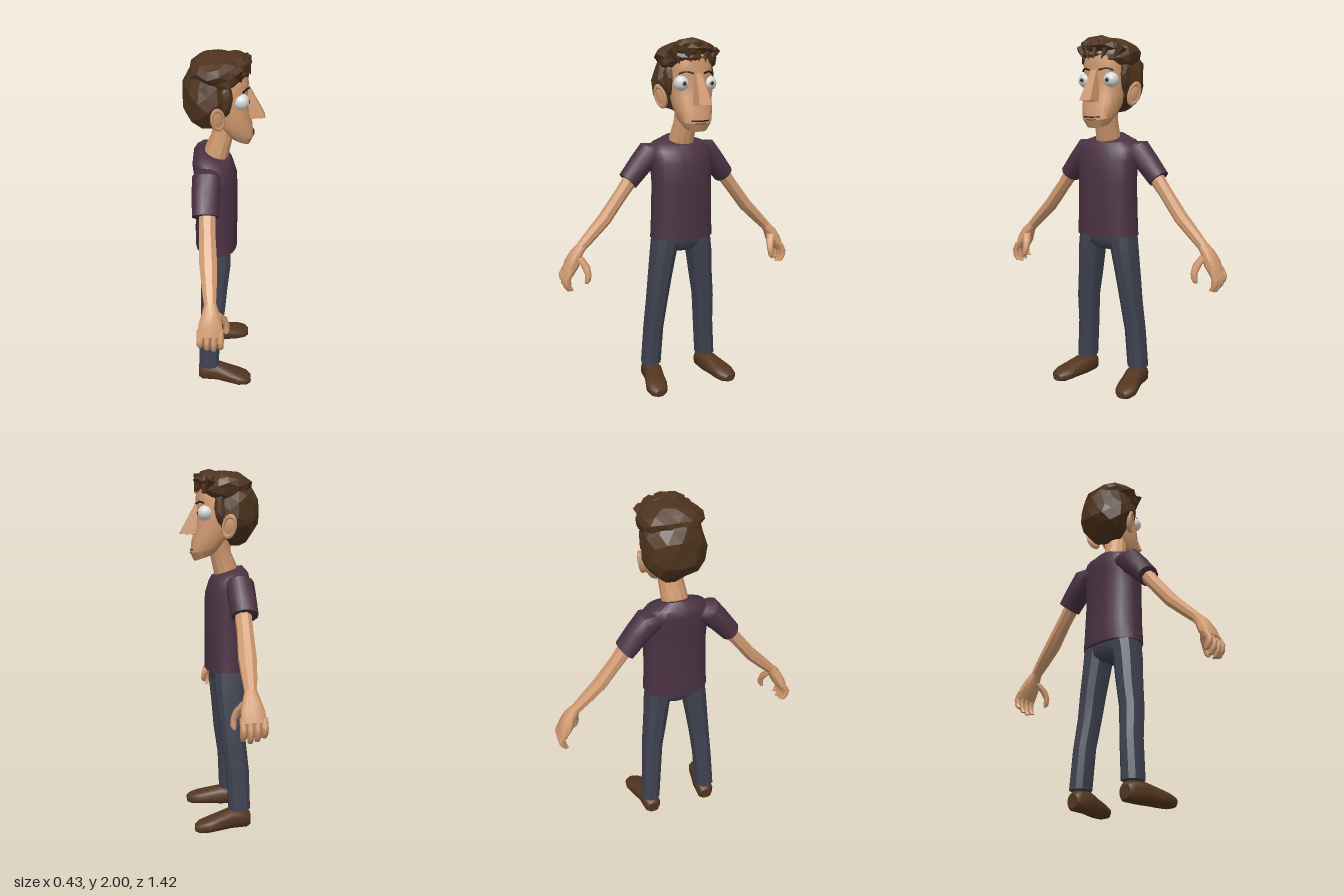
import * as THREE from 'three';
import { toCreasedNormals } from 'three/addons/utils/BufferGeometryUtils.js';

const mat = (name, color) => Object.assign(new THREE.MeshStandardMaterial({ color }), { name });
const M = {
  skin: mat('skin', 0xd09a70), shirt: mat('plum shirt', 0x4b3242), trousers: mat('slate trousers', 0x3f4351),
  shoe: mat('brown leather', 0x53361f), hair: mat('dark brown hair', 0x4e331d),
  white: mat('eye white', 0xd9dad8), dark: mat('dark line', 0x1d1613), iris: mat('grey iris', 0x77766f),
  lip: mat('lip', 0x9a5f48),
};
M.hair.flatShading = true;

const X = [1, 0, 0], Y = [0, 1, 0], Z = [0, 0, 1];

// Closed loft through super-elliptic sections [x, y, z, halfU, halfV, tilt].
function loft(sections, { u = X, v = Z, sides = 12, power = 1, crease = 0.8 } = {}) {
  const U = new THREE.Vector3(...u), V = new THREE.Vector3(...v), pos = [], index = [];
  const pw = c => Math.sign(c) * Math.abs(c) ** power;
  for (const [x, y, z, a, b, tilt = 0] of sections) {
    for (let i = 0; i < sides; i++) {
      const t = (i + 0.5) / sides * Math.PI * 2, c = pw(Math.cos(t)), s = pw(Math.sin(t));
      const p = new THREE.Vector3(x, y + tilt * c, z).addScaledVector(U, a * c).addScaledVector(V, b * s);
      pos.push(p.x, p.y, p.z);
    }
  }
  const last = sections.length - 1;
  for (const k of [0, last]) pos.push(...sections[k].slice(0, 3));
  const dir = new THREE.Vector3(...sections[last].slice(0, 3)).sub(new THREE.Vector3(...sections[0].slice(0, 3)));
  const flip = U.clone().cross(V).dot(dir) < 0;
  const tri = (a, b, c) => flip ? index.push(a, c, b) : index.push(a, b, c);
  const end = sections.length * sides;
  for (let i = 0; i < sides; i++) {
    const j = (i + 1) % sides;
    for (let k = 0; k < last; k++) {
      const p = k * sides, q = p + sides;
      tri(p + i, p + j, q + j);
      tri(p + i, q + j, q + i);
    }
    tri(end, j, i);
    tri(end + 1, last * sides + i, last * sides + j);
  }
  const g = new THREE.BufferGeometry();
  g.setAttribute('position', new THREE.Float32BufferAttribute(pos, 3));
  g.setIndex(index);
  return toCreasedNormals(g, crease);
}

function add(parent, name, geometry, material, p = [0, 0, 0], scale = [1, 1, 1]) {
  const m = new THREE.Mesh(geometry, material);
  m.name = name;
  m.position.set(...p);
  m.scale.set(...scale);
  parent.add(m);
  return m;
}

const line = (points, r) => new THREE.TubeGeometry(
  new THREE.CatmullRomCurve3(points.map(p => new THREE.Vector3(...p))), 10, r, 5);

// Faceted clump: icosahedron with repeatable radial jitter.
function clump(detail, jitter, seed) {
  const g = new THREE.IcosahedronGeometry(1, detail), p = g.attributes.position;
  const r = n => Math.round(n * 100);
  for (let i = 0; i < p.count; i++) {
    const h = Math.sin(r(p.getX(i)) * 12.99 + r(p.getY(i)) * 78.23 + r(p.getZ(i)) * 37.72 + seed) * 437.58;
    const k = 1 + jitter * (h - Math.floor(h) - 0.5) * 2;
    p.setXYZ(i, p.getX(i) * k, p.getY(i) * k, p.getZ(i) * k);
  }
  g.computeVertexNormals();
  return g;
}

function buildHead(root) {
  const head = new THREE.Group();
  head.name = 'head';
  head.position.z = -0.024;
  root.add(head);
  add(head, 'face', loft([
    [0.09, 1.52, 0, 0.052, 0.062, -0.018], [0.08, 1.56, 0, 0.082, 0.09, -0.015],
    [0.055, 1.62, 0, 0.1, 0.104, -0.01], [0.035, 1.68, 0, 0.1, 0.112], [0.02, 1.76, 0, 0.105, 0.115],
    [0.02, 1.84, 0, 0.112, 0.115], [0.01, 1.91, 0, 0.11, 0.105],
  ], { sides: 16, power: 0.8, crease: 0.5 }), M.skin);
  add(head, 'nose', loft([
    [0.165, 1.645, 0, 0.056, 0.036, 0.004], [0.16, 1.675, 0, 0.048, 0.033], [0.115, 1.81, 0, 0.02, 0.016],
  ], { sides: 4, power: 0, crease: 0.4 }), M.skin);
  add(head, 'mouth', line([[0.153, 1.562, -0.052], [0.162, 1.56, 0], [0.153, 1.562, 0.052]], 0.004), M.dark);
  add(head, 'lowerLip', line([[0.156, 1.55, -0.03], [0.161, 1.547, 0], [0.156, 1.55, 0.03]], 0.006), M.lip);

  for (const s of [1, -1]) {
    const ball = new THREE.SphereGeometry(1, 20, 14);
    add(head, 'eye', ball, M.white, [0.09, 1.758, s * 0.082], [0.042, 0.042, 0.042]);
    add(head, 'iris', ball, M.iris, [0.13, 1.758, s * 0.082], [0.004, 0.013, 0.013]);
    add(head, 'pupil', ball, M.dark, [0.132, 1.758, s * 0.082], [0.004, 0.008, 0.008]);
    add(head, 'eyebrow', line([[0.132, 1.81, s * 0.028], [0.119, 1.819, s * 0.07], [0.095, 1.808, s * 0.1]], 0.005), M.dark);
    // Ears flare outwards towards the back
    const ear = new THREE.Group();
    ear.name = 'ear';
    ear.position.set(-0.032, 1.682, s * 0.146);
    ear.rotation.set(s * 0.15, s * 0.45, 0.2);
    head.add(ear);
    add(ear, 'earShell', new THREE.SphereGeometry(1, 12, 8), M.skin, [0, 0, 0], [0.038, 0.062, 0.016]);
    add(ear, 'earRim', new THREE.TorusGeometry(0.033, 0.009, 6, 16), M.skin, [0, 0.005, s * 0.008], [1, 1.65, 1]);
    add(head, 'sideburn', clump(1, 0.12, 3 + s), M.hair, [0.012, 1.785, s * 0.118], [0.034, 0.09, 0.03]);
  }

  // Hair: overlapping faceted clumps and pointed fringe locks
  add(head, 'backHair', clump(2, 0.07, 1), M.hair, [-0.08, 1.77, 0], [0.135, 0.185, 0.17]);
  add(head, 'topHair', clump(2, 0.07, 5), M.hair, [-0.025, 1.893, 0], [0.155, 0.095, 0.172]);
  add(head, 'quiff', clump(1, 0.14, 8), M.hair, [0.06, 1.94, 0], [0.085, 0.052, 0.12]);
  for (let i = -2; i <= 2; i++) {
    const lock = add(head, 'fringeLock', new THREE.ConeGeometry(0.034, 0.1, 5), M.hair,
      [0.125 - 0.012 * i * i, 1.917 - 0.006 * i * i, i * 0.053]);
    lock.rotation.set(0.25 * i, 0, Math.PI + 0.3);
  }
}

function buildLimbs(root, s) {
  const across = [0, 0.7, s * 0.714];
  add(root, 'sleeve', loft([
    [-0.085, 1.385, s * 0.11, 0.065, 0.06], [-0.09, 1.375, s * 0.165, 0.078, 0.075],
    [-0.092, 1.305, s * 0.232, 0.076, 0.066], [-0.094, 1.22, s * 0.303, 0.073, 0.058],
  ], { v: across }), M.shirt);
  add(root, 'arm', loft([
    [-0.085, 1.27, s * 0.26, 0.048, 0.044], [-0.085, 1.15, s * 0.35, 0.045, 0.037],
    [-0.08, 1.02, s * 0.45, 0.05, 0.037], [-0.075, 0.94, s * 0.53, 0.042, 0.033],
    [-0.07, 0.87, s * 0.6, 0.032, 0.028],
  ], { v: across, sides: 8, crease: 0.6 }), M.skin);

  // Hand: palm facing the body, four curled fingers and a forward thumb
  const hand = new THREE.Group();
  hand.name = 'hand';
  root.add(hand);
  add(hand, 'palm', loft([
    [-0.07, 0.885, s * 0.588, 0.03, 0.026], [-0.068, 0.845, s * 0.622, 0.045, 0.032],
    [-0.07, 0.79, s * 0.65, 0.062, 0.036], [-0.072, 0.735, s * 0.678, 0.064, 0.026],
  ], { v: [0, 0.45, s * 0.89], sides: 10, power: 0.8 }), M.skin);
  [0.025, 0.008, 0, 0.012].forEach((lift, i) => {
    const x = -0.123 + i * 0.035;
    add(hand, 'finger', loft([
      [x, 0.765, s * 0.668, 0.018, 0.02], [x, 0.71 + lift * 0.5, s * 0.692, 0.018, 0.02],
      [x, 0.665 + lift, s * 0.688, 0.017, 0.018], [x, 0.641 + lift, s * 0.672, 0.012, 0.014],
    ], { sides: 8 }), M.skin);
  });
  add(hand, 'thumb', loft([
    [-0.04, 0.83, s * 0.615, 0.025, 0.024], [-0.008, 0.785, s * 0.59, 0.024, 0.024],
    [0.012, 0.74, s * 0.582, 0.017, 0.018], [0.015, 0.705, s * 0.588, 0.016, 0.016],
    [0.012, 0.69, s * 0.594, 0.009, 0.009],
  ], { sides: 8 }), M.skin);

  add(root, 'trouserLeg', loft([
    [-0.045, 0.9, s * 0.096, 0.09, 0.08], [-0.045, 0.8, s * 0.113, 0.088, 0.073],
    [-0.055, 0.65, s * 0.131, 0.08, 0.066], [-0.06, 0.5, s * 0.15, 0.07, 0.061],
    [-0.082, 0.33, s * 0.164, 0.065, 0.057], [-0.09, 0.11, s * 0.179, 0.062, 0.058],
  ], { sides: 10, power: 0.9, crease: 0.6 }), M.trousers);

  // Shoe toes out slightly
  add(root, 'shoe', loft([
    [-0.152, 0.048, s * 0.177, 0.036, 0.034], [-0.13, 0.052, s * 0.178, 0.052, 0.05],
    [-0.04, 0.056, s * 0.184, 0.056, 0.056], [0.03, 0.046, s * 0.203, 0.046, 0.06],
    [0.09, 0.037, s * 0.217, 0.037, 0.065], [0.14, 0.03, s * 0.223, 0.03, 0.053],
    [0.166, 0.025, s * 0.225, 0.018, 0.028],
  ], { u: Y, sides: 16, power: 0.75 }), M.shoe);
}

export function createModel() {
  const root = new THREE.Group();
  root.name = 'standingMan';
  add(root, 'shirtBody', loft([
    [-0.04, 0.89, 0, 0.12, 0.186], [-0.04, 1, 0, 0.119, 0.18], [-0.036, 1.2, 0, 0.116, 0.176],
    [-0.042, 1.32, 0, 0.118, 0.182], [-0.056, 1.39, 0, 0.112, 0.186, -0.005],
    [-0.062, 1.428, 0, 0.1, 0.16, -0.008], [-0.052, 1.448, 0, 0.078, 0.088, -0.026],
  ], { sides: 20, power: 0.85 }), M.shirt);
  add(root, 'hips', loft([
    [-0.045, 0.81, 0, 0.06, 0.07], [-0.045, 0.84, 0, 0.09, 0.14],
    [-0.045, 0.88, 0, 0.096, 0.176], [-0.045, 0.93, 0, 0.1, 0.17],
  ], { sides: 16 }), M.trousers);
  add(root, 'neck', loft([
    [-0.045, 1.4, 0, 0.062, 0.074], [-0.035, 1.46, -0.002, 0.064, 0.072, -0.02],
    [-0.005, 1.55, -0.012, 0.06, 0.068], [0.01, 1.65, -0.024, 0.065, 0.075],
  ], { sides: 12, crease: 0.4 }), M.skin);
  for (const s of [1, -1]) buildLimbs(root, s);
  buildHead(root);
  return root;
}
